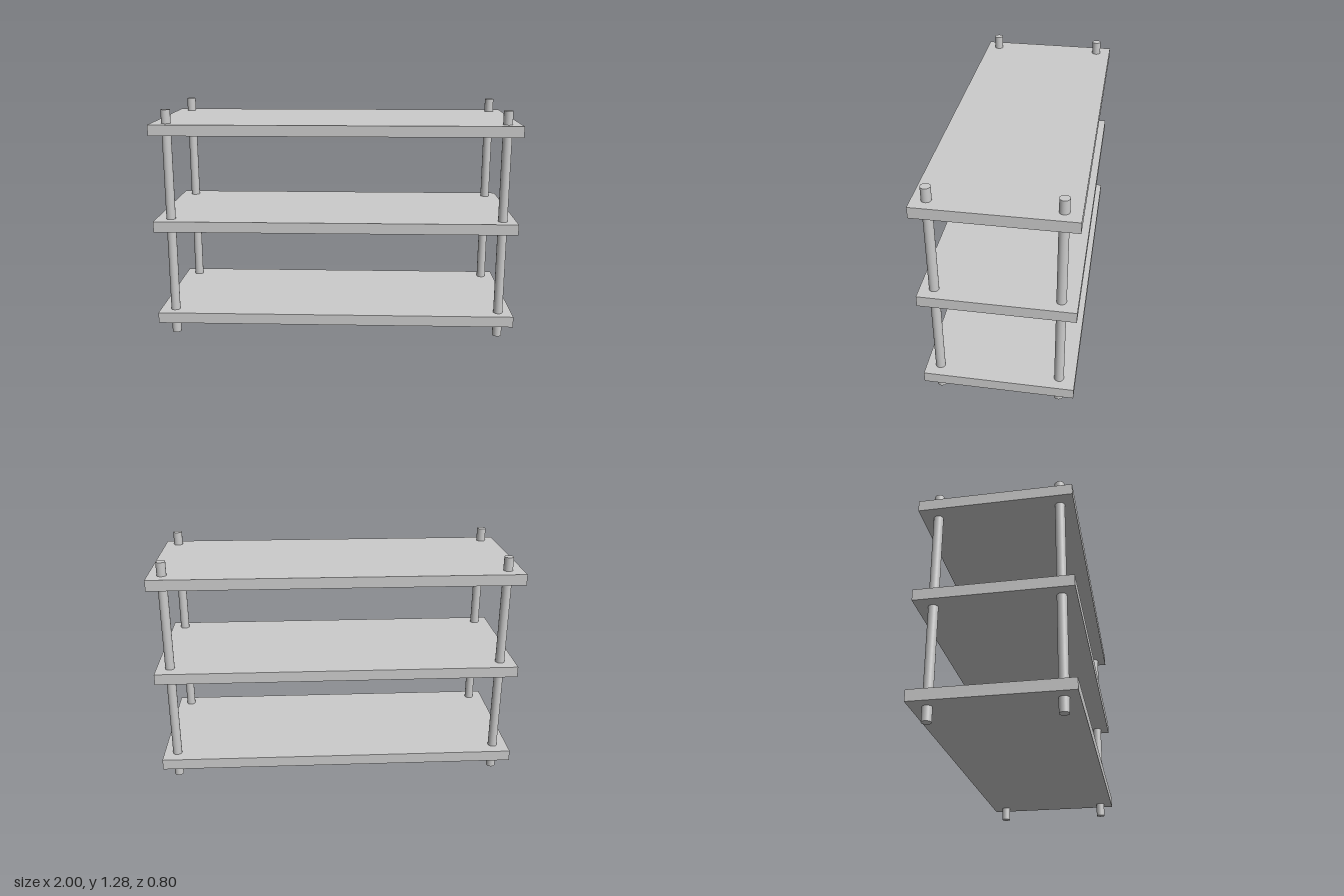
import * as THREE from 'three';

export function createModel() {
  const model = new THREE.Group();
  const material = new THREE.MeshStandardMaterial({ color: 0xcccccc });

  // three evenly spaced boards
  const shelfGeometry = new THREE.BoxGeometry(2, 0.06, 0.8);
  ['lowerShelf', 'middleShelf', 'upperShelf'].forEach((name, i) => {
    const shelf = new THREE.Mesh(shelfGeometry, material);
    shelf.name = name;
    shelf.position.y = 0.107 + i * 0.534;
    model.add(shelf);
  });

  // round corner posts running through all the boards, set slightly off centre
  const height = 1.28;
  const postGeometry = new THREE.CylinderGeometry(0.0255, 0.0255, height, 32);
  for (const [side, x] of [['Right', -0.917], ['Left', 0.925]]) {
    for (const [end, z] of [['front', 0.326], ['back', -0.315]]) {
      const post = new THREE.Mesh(postGeometry, material);
      post.name = `${end}${side}Post`;
      post.position.set(x, height / 2, z);
      model.add(post);
    }
  }
  return model;
}
